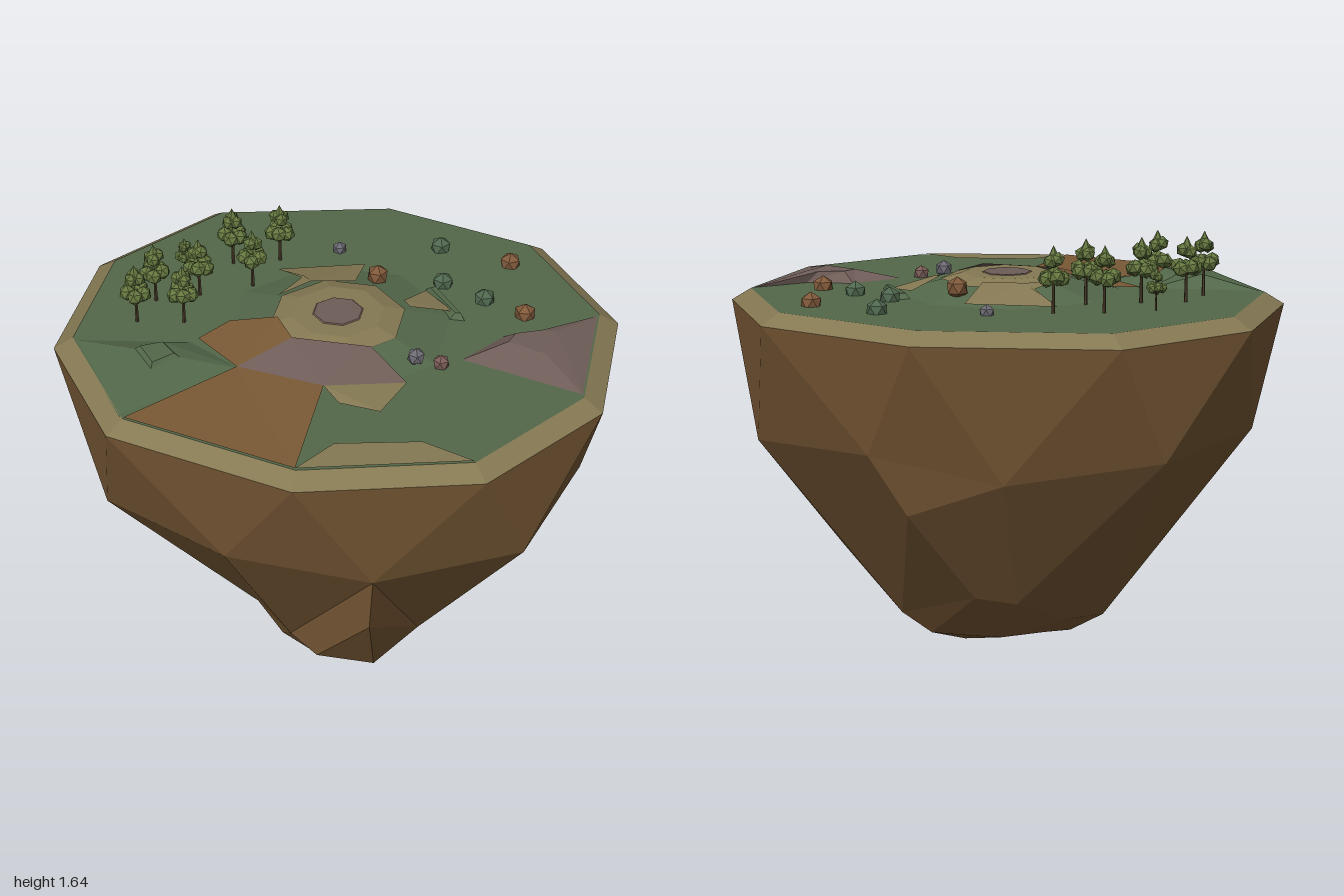
import * as THREE from 'three';

const BROWN = 0x7a5a36, GREEN = 0x53684a, SAND = 0x857953, MAUVE = 0x6f5d58, LEAF = 0x64773f;
const mat = (color) => new THREE.MeshStandardMaterial({ color, flatShading: true, side: THREE.DoubleSide });

function mesh(name, geometry, color, parent) {
  const m = new THREE.Mesh(geometry, mat(color));
  m.name = name;
  parent.add(m);
  return m;
}

function fromTriangles(tris) {
  const g = new THREE.BufferGeometry();
  g.setAttribute('position', new THREE.Float32BufferAttribute(tris.flat(2), 3));
  g.computeVertexNormals();
  return g;
}

// Triangles between two rings that run from +z towards +x; quads listed in flips take the other diagonal
function band(upper, lower, flips = []) {
  return upper.flatMap((u, j) => {
    const k = (j + 1) % upper.length;
    return flips.includes(j)
      ? [[lower[j], lower[k], u], [lower[k], upper[k], u]]
      : [[lower[j], lower[k], upper[k]], [lower[j], upper[k], u]];
  });
}
const fan = (p) => p.slice(2).map((c, i) => [p[0], p[i + 1], c]);

// Puts a new corner m on the edge a-b
const split = (tris, a, b, m) => tris.flatMap((t) => (t.includes(a) && t.includes(b)
  ? [t.map((v) => (v === b ? m : v)), t.map((v) => (v === a ? m : v))] : [t]));

// Ground height: low hill in the middle, flat towards the rim
function height(x, z) {
  const r = Math.hypot(x, z);
  if (r < 0.25) return 1.467;
  return r < 0.45 ? 1.467 - (r - 0.25) * 0.28 : 1.409;
}

// Rings of the rock, ten corners each
const rimOuter = [
  [0.035, 0.93], [0.66, 0.755], [1, 0.28], [1, -0.295], [0.66, -0.76],
  [0.035, -0.935], [-0.66, -0.76], [-1, -0.295], [-1, 0.28], [-0.66, 0.755],
];
const at = (ring, y, s = 1) => ring.map(([x, z]) => [x * s, y, z * s]);
const shoulder = [
  [0.28, 0.86, 0.76], [0.78, 0.89, 0.52], [0.92, 0.87, -0.04], [0.8, 0.88, -0.52], [0.25, 0.93, -0.79],
  [-0.24, 0.85, -0.75], [-0.76, 0.92, -0.53], [-0.95, 0.94, 0], [-0.77, 0.85, 0.49], [-0.25, 0.91, 0.78],
];
const waist = [
  [0.02, 0.23, 0.5], [0.36, 0.17, 0.2], [0.64, 0.38, -0.12], [0.33, 0.18, -0.28], [-0.03, 0.33, -0.46],
  [-0.18, 0.31, -0.42], [-0.32, 0.2, -0.2], [-0.39, 0.16, 0], [-0.29, 0.165, 0.17], [-0.12, 0.175, 0.34],
];
const foot = [
  [0.05, 0.055, 0.15], [0.3, 0.06, 0.08], [0.33, 0.05, -0.05], [0.22, 0.1, -0.25], [0.08, 0.1, -0.24],
  [-0.05, 0.1, -0.22], [-0.2, 0.1, -0.1], [-0.25, 0.07, 0.03], [-0.18, 0.06, 0.22], [-0.06, 0.06, 0.29],
];

function addRock(root) {
  // Underside with two blunt tips and a dip between them
  const tipA = [0.17, 0, -0.01], tipB = [-0.09, 0.01, 0.12], dip = [0.04, 0.055, 0.04];
  const under = foot.map((p, j) => [j < 5 ? tipA : tipB, foot[(j + 1) % 10], p]);
  under.push([tipA, foot[0], dip], [foot[0], tipB, dip], [tipB, foot[5], dip], [foot[5], tipA, dip]);

  let tris = [...band(at(rimOuter, 1.36), shoulder), ...band(shoulder, waist, [0, 6]), ...band(waist, foot), ...under];
  // Jutting spur in front, bulging ridge behind
  const spur = [0.24, 0.23, 0.5];
  tris = split(tris, waist[0], waist[1], spur);
  tris = split(tris, shoulder[0], spur, [0.268, 0.64, 0.75]);
  tris = split(tris, shoulder[4], waist[4], [0.13, 0.7, -0.72]);
  mesh('rockBody', fromTriangles(tris), BROWN, root);

  const inner = at(rimOuter, 1.404, 0.93);
  mesh('sandRim', fromTriangles(band(inner, at(rimOuter, 1.36))), SAND, root);
  mesh('grass', fromTriangles(fan(inner)), GREEN, root);
}

// Flat coloured ground laid over the grass
function addPatch(root, name, color, points) {
  mesh(name, fromTriangles(fan(points.map(([x, z]) => [x, height(x, z), z]))), color, root);
}

// Raised ground with a sloping side and a flat top
function addMound(root, name, color, base, top, y, y0 = 1.402) {
  const t = at(top, y);
  mesh(name, fromTriangles([...band(t, at(base, y0)), ...fan(t)]), color, root);
}

function addTerrain(root) {
  // Central hill
  const cone = (name, r0, r1, y0, y1, color) => {
    const m = mesh(name, new THREE.CylinderGeometry(r1, r0, y1 - y0, 8), color, root);
    m.position.y = (y0 + y1) / 2;
    m.rotation.y = Math.PI / 8;
  };
  cone('hillSlope', 0.44, 0.22, 1.4, 1.453, GREEN);
  cone('hillCrown', 0.25, 0.17, 1.45, 1.472, SAND);
  cone('hillTop', 0.1, 0.09, 1.468, 1.475, MAUVE);

  addPatch(root, 'sandBack', SAND, [[-0.14, -0.19], [-0.24, -0.07], [-0.18, -0.24], [-0.3, -0.33], [0.02, -0.42], [0.02, -0.22]]);
  addPatch(root, 'sandSide', SAND, [[0.22, -0.13], [0.28, -0.27], [0.4, -0.17], [0.25, -0.1]]);
  addPatch(root, 'clayNear', BROWN, [[-0.3, 0.33], [-0.48, 0.18], [-0.39, 0.07], [-0.21, 0.07], [-0.13, 0.19]]);
  addPatch(root, 'mauveNear', MAUVE, [[0.03, 0.4], [-0.3, 0.33], [-0.13, 0.19], [0.16, 0.19], [0.31, 0.31]]);
  addPatch(root, 'clayFront', BROWN, [[-0.3, 0.33], [0.03, 0.4], [0.03, 0.86], [-0.61, 0.7]]);
  addPatch(root, 'sandNear', SAND, [[0.03, 0.4], [0.31, 0.31], [0.25, 0.49], [0.1, 0.47]]);
  addPatch(root, 'sandFront', SAND, [[0.03, 0.86], [0.13, 0.7], [0.42, 0.63], [0.61, 0.7]]);

  const crest = [[-0.58, 0.45], [-0.5, 0.36], [-0.58, 0.28], [-0.67, 0.34]];
  addMound(root, 'greenMound', GREEN, [[-0.63, 0.69], [-0.28, 0.33], [-0.5, 0.2], [-0.92, 0.27]], crest, 1.445);
  addMound(root, 'moundCrest', GREEN, crest, [[-0.58, 0.43], [-0.52, 0.36], [-0.58, 0.3], [-0.65, 0.34]], 1.46, 1.445);
  addMound(root, 'mauveMound', MAUVE,
    [[0.47, 0.12], [0.93, 0.25], [0.93, -0.27], [0.78, -0.1], [0.6, -0.06]],
    [[0.63, 0.03], [0.77, 0.08], [0.79, -0.07], [0.74, -0.07], [0.65, -0.03]], 1.445);
  addMound(root, 'ledge', GREEN,
    [[0.39, -0.13], [0.45, -0.13], [0.31, -0.33], [0.27, -0.31]],
    [[0.41, -0.15], [0.43, -0.15], [0.31, -0.31], [0.29, -0.3]], 1.424);
}

// Tree: thin trunk, two tiers of leaf clumps and a pointed crown
function addTree(root, x, z, s, turn) {
  const tree = new THREE.Group();
  tree.name = 'tree';
  mesh('trunk', new THREE.CylinderGeometry(0.005, 0.007, 0.12, 5), 0x4a3a28, tree).position.y = 0.06;
  const tier = (name, count, spread, size, y) => {
    for (let i = 0; i < count; i++) {
      const a = (i * 2 * Math.PI) / count;
      const clump = mesh(name, new THREE.IcosahedronGeometry(size), LEAF, tree);
      clump.position.set(spread * Math.sin(a), y + 0.008 * (i % 2), spread * Math.cos(a));
      clump.rotation.set(i, a, 0.4);
    }
  };
  tier('lowerLeaves', 5, 0.031, 0.031, 0.124);
  tier('upperLeaves', 3, 0.015, 0.027, 0.185);
  mesh('crown', new THREE.ConeGeometry(0.026, 0.05, 5), LEAF, tree).position.y = 0.217;
  tree.position.set(x, 1.403, z);
  tree.rotation.y = turn;
  tree.scale.setScalar(s);
  root.add(tree);
}

export function createModel() {
  const root = new THREE.Group();
  root.name = 'floatingIsland';
  addRock(root);
  addTerrain(root);

  [[-0.64, -0.24, 0.65], [-0.48, -0.35, 1], [-0.31, -0.41, 1], [-0.37, -0.21, 1],
    [-0.55, -0.11, 1], [-0.7, -0.04, 1], [-0.73, 0.11, 1], [-0.56, 0.08, 1],
  ].forEach(([x, z, s], i) => addTree(root, x, z, s, i * 1.3));

  // Boulders: x, z, radius, colour
  const ORE = 0x80593a, MOSS = 0x50684f, STONE = 0x6c6a72;
  [[0.28, -0.61, 0.042, MOSS], [0.56, -0.55, 0.042, ORE], [-0.1, -0.52, 0.029, STONE],
    [0.09, -0.3, 0.042, ORE], [0.33, -0.36, 0.042, MOSS], [0.5, -0.28, 0.042, MOSS],
    [0.66, -0.21, 0.042, ORE], [0.32, 0.18, 0.034, STONE], [0.41, 0.17, 0.032, 0x7a5c58],
  ].forEach(([x, z, r, color], i) => {
    const g = new THREE.IcosahedronGeometry(r).rotateZ(-0.5536).rotateY(i * 0.9);
    mesh('boulder', g, color, root).position.set(x, height(x, z) + 0.005, z);
  });
  return root;
}
